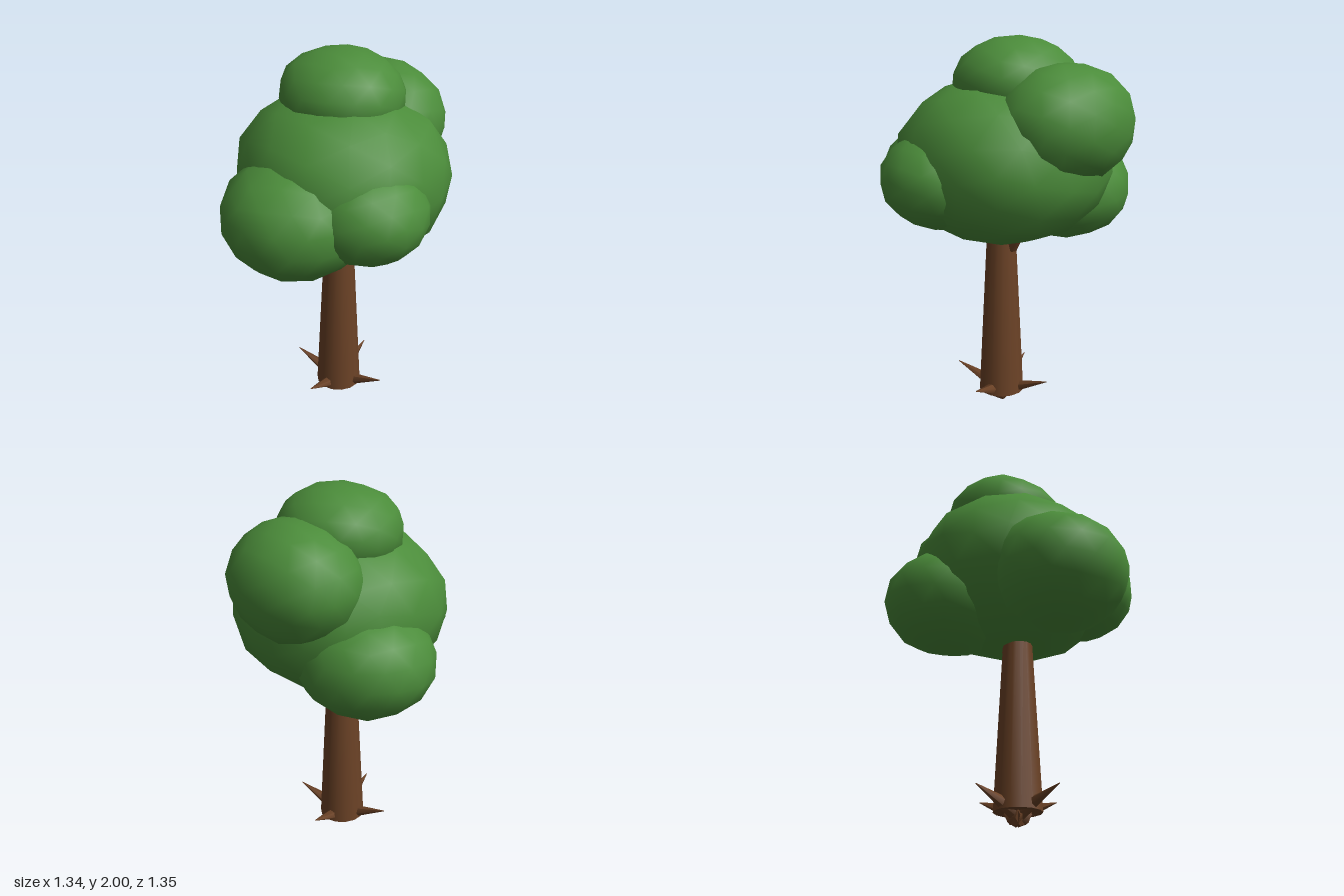
import * as THREE from 'three';
import { mergeVertices } from 'three/addons/utils/BufferGeometryUtils.js';

const leafGreen = new THREE.MeshStandardMaterial({ color: 0x4b8c3a });
const barkBrown = new THREE.MeshStandardMaterial({ color: 0x6b4226 });
leafGreen.name = 'leafGreen';
barkBrown.name = 'barkBrown';

const v = (x, y, z) => new THREE.Vector3(x, y, z);

// Lumpy, smooth-shaded low-poly ball filling the box min..max; n above 2 squares its shoulders
function leafClump(name, min, max, seed, n = 2.04) {
  let geo = new THREE.IcosahedronGeometry(1, 2);
  geo.deleteAttribute('normal');
  geo.deleteAttribute('uv');
  geo = mergeVertices(geo, 1e-4);
  geo.rotateX(seed * 1.3).rotateY(seed * 2.1);
  const pos = geo.attributes.position;
  const p = v(0, 0, 0);
  for (let i = 0; i < pos.count; i++) {
    p.fromBufferAttribute(pos, i);
    const lump = Math.sin(p.x * 4 + seed) * Math.sin(p.y * 4 + seed * 2) * Math.sin(p.z * 4 + seed * 3);
    const sum = Math.abs(p.x) ** n + Math.abs(p.y) ** n + Math.abs(p.z) ** n;
    p.multiplyScalar((1 + 0.025 * lump) * sum ** (-1 / n));
    pos.setXYZ(i, p.x, p.y, p.z);
  }
  geo.center();
  geo.computeBoundingBox();
  const size = geo.boundingBox.getSize(v(0, 0, 0));
  const a = v(...min), b = v(...max);
  const s = b.clone().sub(a).divide(size);
  const c = a.add(b).multiplyScalar(0.5);
  geo.scale(s.x, s.y, s.z).translate(c.x, c.y, c.z);
  geo.computeVertexNormals();
  const mesh = new THREE.Mesh(geo, leafGreen);
  mesh.name = name;
  return mesh;
}

// Tapered limb running between two points
function limb(name, from, to, r0, r1, sides) {
  const dir = to.clone().sub(from);
  const geo = new THREE.CylinderGeometry(r1, r0, dir.length(), sides);
  const mesh = new THREE.Mesh(geo, barkBrown);
  mesh.name = name;
  mesh.position.copy(from).add(to).multiplyScalar(0.5);
  mesh.quaternion.setFromUnitVectors(v(0, 1, 0), dir.normalize());
  return mesh;
}

export function createModel() {
  const tree = new THREE.Group();
  tree.name = 'tree';

  // Trunk and the side branch reaching into the leaves
  const cx = 0.01, cz = 0.028;
  tree.add(limb('trunk', v(cx, 0.07, cz), v(cx, 1.3, cz), 0.124, 0.062, 14));
  tree.add(limb('branch', v(0.07, 0.9, 0.01), v(0.23, 1.16, 0), 0.034, 0.025, 6));

  // Four pointed roots crossing beneath the trunk
  const roots = new THREE.Group();
  roots.name = 'roots';
  for (let i = 0; i < 4; i++) {
    const a = 0.405 + i * Math.PI / 2;
    const at = (r, y) => v(cx + Math.sin(a) * r, y, cz + Math.cos(a) * r);
    roots.add(limb('root', at(-0.04, 0.052), at(0.28, 0.165), 0.055, 0.002, 6));
  }
  tree.add(roots);

  // Leaf clumps: a large core with five smaller ones around it
  const crown = new THREE.Group();
  crown.name = 'crown';
  crown.add(
    leafClump('coreClump', [-0.49, 0.95, -0.52], [0.56, 1.8, 0.565], 0.4, 2.2),
    leafClump('topClump', [-0.25, 1.53, -0.35], [0.375, 2.0, 0.305], 1.1),
    leafClump('upperLeftClump', [0.04, 1.29, -0.47], [0.67, 1.878, 0.285], 2.3),
    leafClump('lowerRightClump', [-0.67, 0.95, -0.25], [0.06, 1.56, 0.5], 3.2),
    leafClump('frontClump', [-0.355, 1.05, 0.05], [0.26, 1.55, 0.672], 4.5),
    leafClump('backClump', [-0.23, 0.92, -0.675], [0.45, 1.475, 0.02], 5.7)
  );
  tree.add(crown);
  return tree;
}
